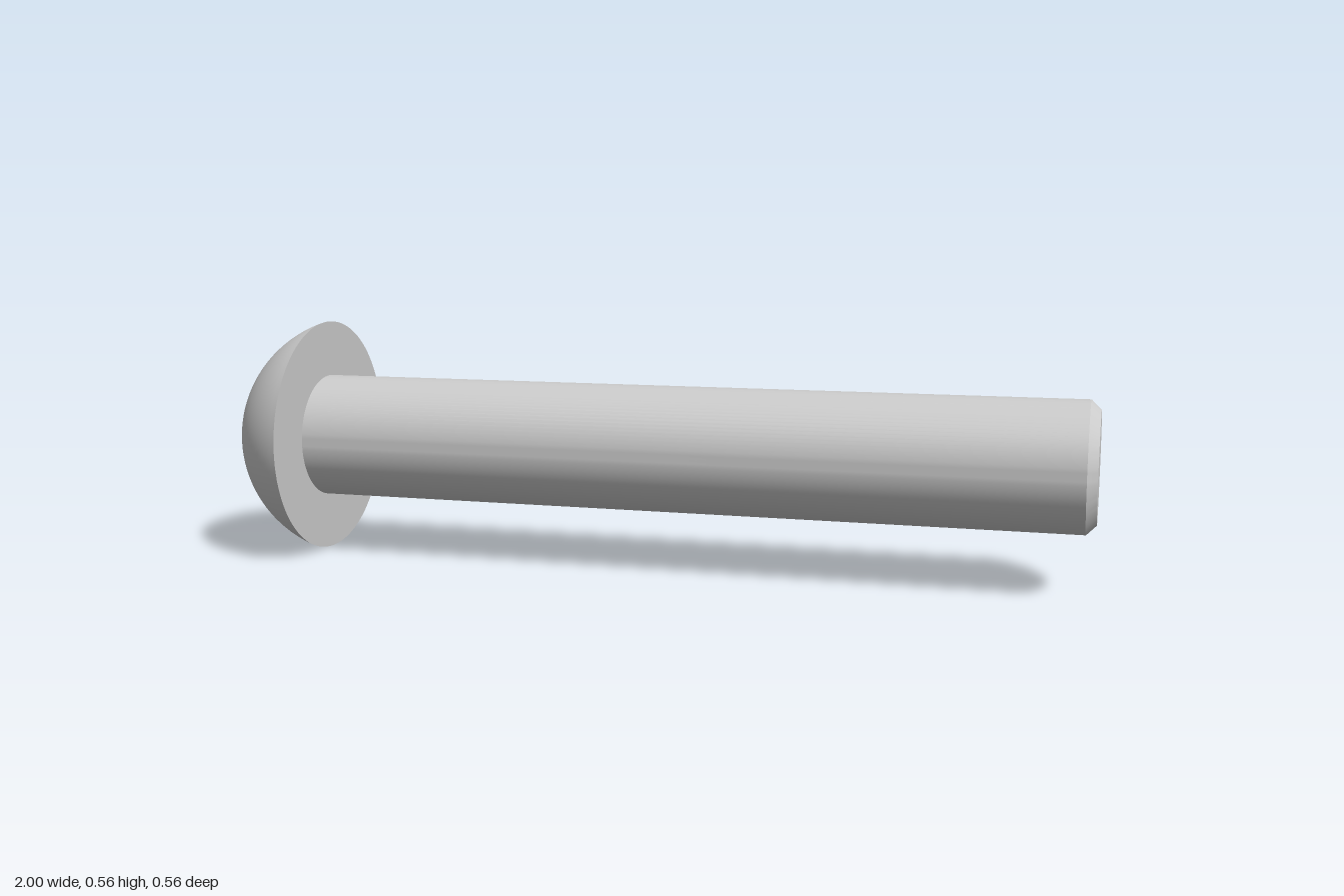
import * as THREE from 'three';
import { toCreasedNormals } from 'three/addons/utils/BufferGeometryUtils.js';

const SEGMENTS = 96;
const HEAD_R = 0.2794, SHAFT_R = 0.147, FACE_R = 0.147;
const FACE_Y = -1, SEAT_Y = -0.838, TIP_Y = 1, CHAMFER = 0.022;
const HEX_R = 0.106, HEX_DEPTH = 0.096;

// Revolved part with crisp edges between its bands
function revolve(points) {
  return toCreasedNormals(new THREE.LatheGeometry(points, SEGMENTS), 0.4);
}

// Domed side of the head (an arc centred on the axis) and its flat underside
function headGeometry() {
  const c = (HEAD_R ** 2 + SEAT_Y ** 2 - FACE_R ** 2 - FACE_Y ** 2) / (2 * (SEAT_Y - FACE_Y));
  const radius = Math.hypot(FACE_R, FACE_Y - c);
  const a0 = Math.atan2(FACE_Y - c, FACE_R), a1 = Math.atan2(SEAT_Y - c, HEAD_R);
  const points = [];
  for (let i = 0; i <= 16; i++) {
    const a = a0 + (a1 - a0) * i / 16;
    points.push(new THREE.Vector2(radius * Math.cos(a), c + radius * Math.sin(a)));
  }
  points.push(new THREE.Vector2(SHAFT_R, SEAT_Y));
  return revolve(points);
}

// Flat ring on the head with a hexagonal opening
function faceGeometry() {
  const shape = new THREE.Shape().absarc(0, 0, FACE_R, 0, Math.PI * 2);
  const hex = [];
  for (let i = 0; i < 6; i++) {
    const a = -i * Math.PI / 3;
    hex.push(new THREE.Vector2(HEX_R * Math.cos(a), HEX_R * Math.sin(a)));
  }
  shape.holes.push(new THREE.Path(hex));
  return new THREE.ShapeGeometry(shape, SEGMENTS).rotateX(Math.PI / 2).translate(0, FACE_Y, 0);
}

// Socket walls, turned to face inward
function socketGeometry() {
  const tube = new THREE.CylinderGeometry(HEX_R, HEX_R, HEX_DEPTH, 6, 1, true, Math.PI / 2);
  tube.index.array.reverse();
  const walls = tube.toNonIndexed();
  walls.computeVertexNormals();
  return walls.translate(0, FACE_Y + HEX_DEPTH / 2, 0);
}

export function createModel() {
  const material = new THREE.MeshStandardMaterial({ color: 0xcccccc });
  const model = new THREE.Group();
  model.name = 'buttonHeadScrew';

  // Built along y, then laid down along x
  const screw = new THREE.Group();
  screw.name = 'screw';
  screw.rotation.z = -Math.PI / 2;
  screw.position.y = HEAD_R;
  model.add(screw);

  const add = (name, geometry) => {
    const mesh = new THREE.Mesh(geometry, material);
    mesh.name = name;
    screw.add(mesh);
  };

  add('head', headGeometry());
  add('headFace', faceGeometry());
  add('socketWalls', socketGeometry());
  add('socketFloor', new THREE.CircleGeometry(HEX_R, 6)
    .rotateX(Math.PI / 2).translate(0, FACE_Y + HEX_DEPTH, 0));

  // Plain shaft with a chamfered tip
  add('shaft', revolve([
    new THREE.Vector2(SHAFT_R, SEAT_Y),
    new THREE.Vector2(SHAFT_R, TIP_Y - CHAMFER),
    new THREE.Vector2(SHAFT_R - CHAMFER, TIP_Y),
    new THREE.Vector2(0, TIP_Y),
  ]));

  return model;
}
